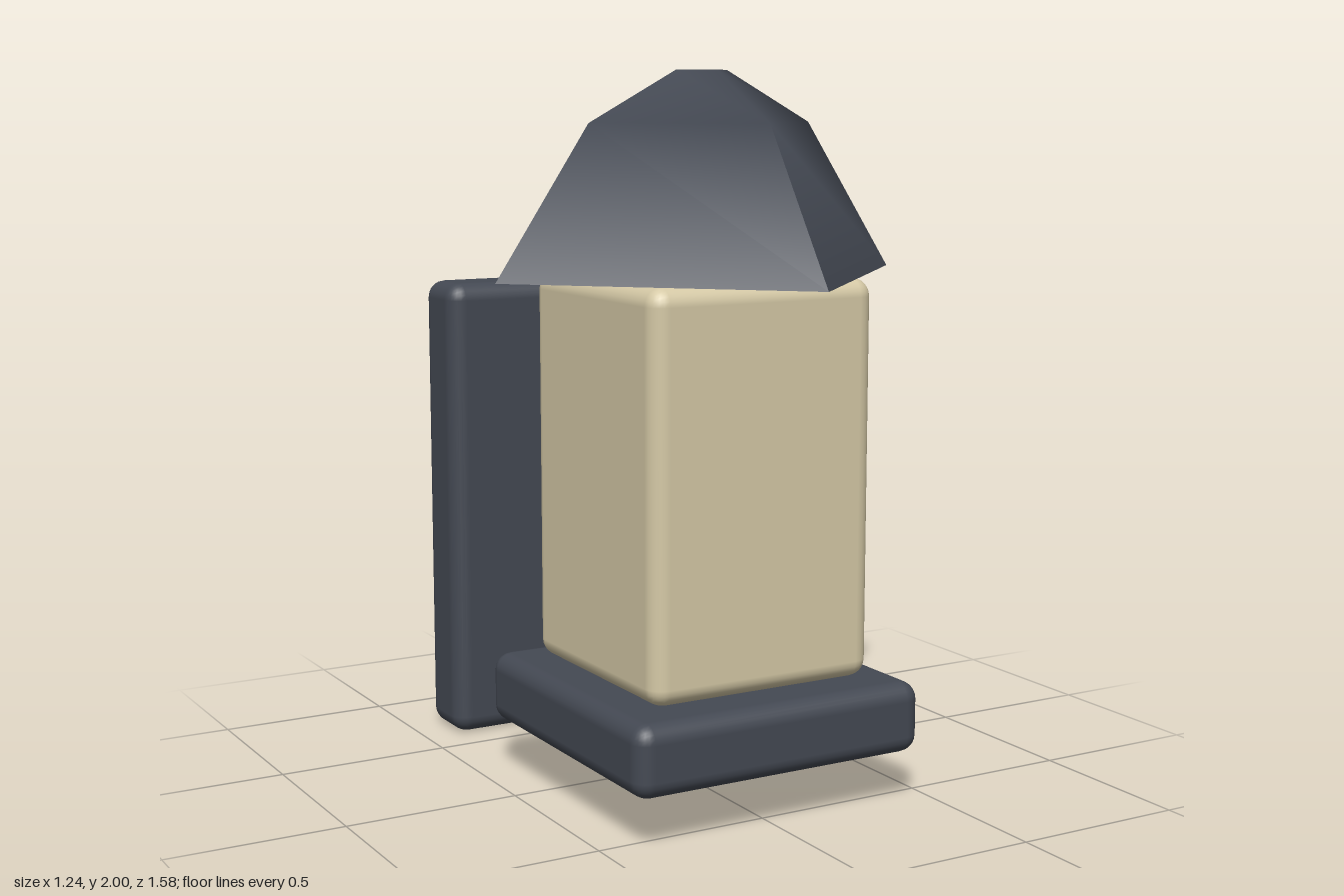
import * as THREE from 'three';
import { mergeVertices } from 'three/addons/utils/BufferGeometryUtils.js';
import { RoundedBoxGeometry } from 'three/addons/geometries/RoundedBoxGeometry.js';

const darkMetal = new THREE.MeshStandardMaterial({ color: 0x444953 });
darkMetal.name = 'dark metal';
const creamGlass = new THREE.MeshStandardMaterial({ color: 0xd5c9a6 });
creamGlass.name = 'cream glass';

const LAMP_Z = 0.17; // axis of the lantern
const RIM_Y = 1.45; // lower edge of the roof

function roundedBox(name, size, position, material) {
  const mesh = new THREE.Mesh(new RoundedBoxGeometry(...size, 3, 0.05), material);
  mesh.name = name;
  mesh.position.set(...position);
  return mesh;
}

function lathe(points, sides) {
  return new THREE.LatheGeometry(points.map(([r, y]) => new THREE.Vector2(r, y)), sides);
}

// Four-sided roof: smooth towards the crown, sharp at the rim corners
function roofGeometry() {
  const profile = [[0, RIM_Y], [0.62, RIM_Y], [0.345, 1.86], [0.08, 2], [0, 2]];
  let geo = lathe(profile, 4);
  geo.deleteAttribute('uv');
  geo.deleteAttribute('normal');
  geo = mergeVertices(geo);
  geo.computeVertexNormals();
  geo = geo.toNonIndexed();

  const flat = geo.clone();
  flat.computeVertexNormals();
  const pos = geo.attributes.position;
  const normal = geo.attributes.normal;
  const faceNormal = flat.attributes.normal;
  for (let i = 0; i < pos.count; i++) {
    if (pos.getY(i) < RIM_Y + 0.01) {
      normal.setXYZ(i, faceNormal.getX(i), faceNormal.getY(i), faceNormal.getZ(i));
    }
  }
  return geo;
}

// Faceted eight-sided bar with chamfered ends, running along z
function armGeometry() {
  const profile = [[0, -0.59], [0.08, -0.59], [0.1, -0.57], [0.1, -0.17], [0.08, -0.15], [0, -0.15]];
  const geo = lathe(profile, 8).toNonIndexed();
  geo.computeVertexNormals();
  geo.rotateX(Math.PI / 2);
  return geo;
}

export function createModel() {
  const lamp = new THREE.Group();
  lamp.name = 'wallLantern';

  lamp.add(
    roundedBox('wallPlate', [0.82, 1.38, 0.205], [0, 0.69, -0.69], darkMetal),
    roundedBox('base', [0.89, 0.2, 0.89], [0, 0.245, LAMP_Z], darkMetal),
    roundedBox('lampGlass', [0.685, 1.1, 0.685], [0, 0.9, LAMP_Z], creamGlass),
  );

  const arm = new THREE.Mesh(armGeometry(), darkMetal);
  arm.name = 'arm';
  arm.position.y = 0.83;

  const roof = new THREE.Mesh(roofGeometry(), darkMetal);
  roof.name = 'roof';
  roof.position.z = LAMP_Z;

  lamp.add(arm, roof);
  return lamp;
}
